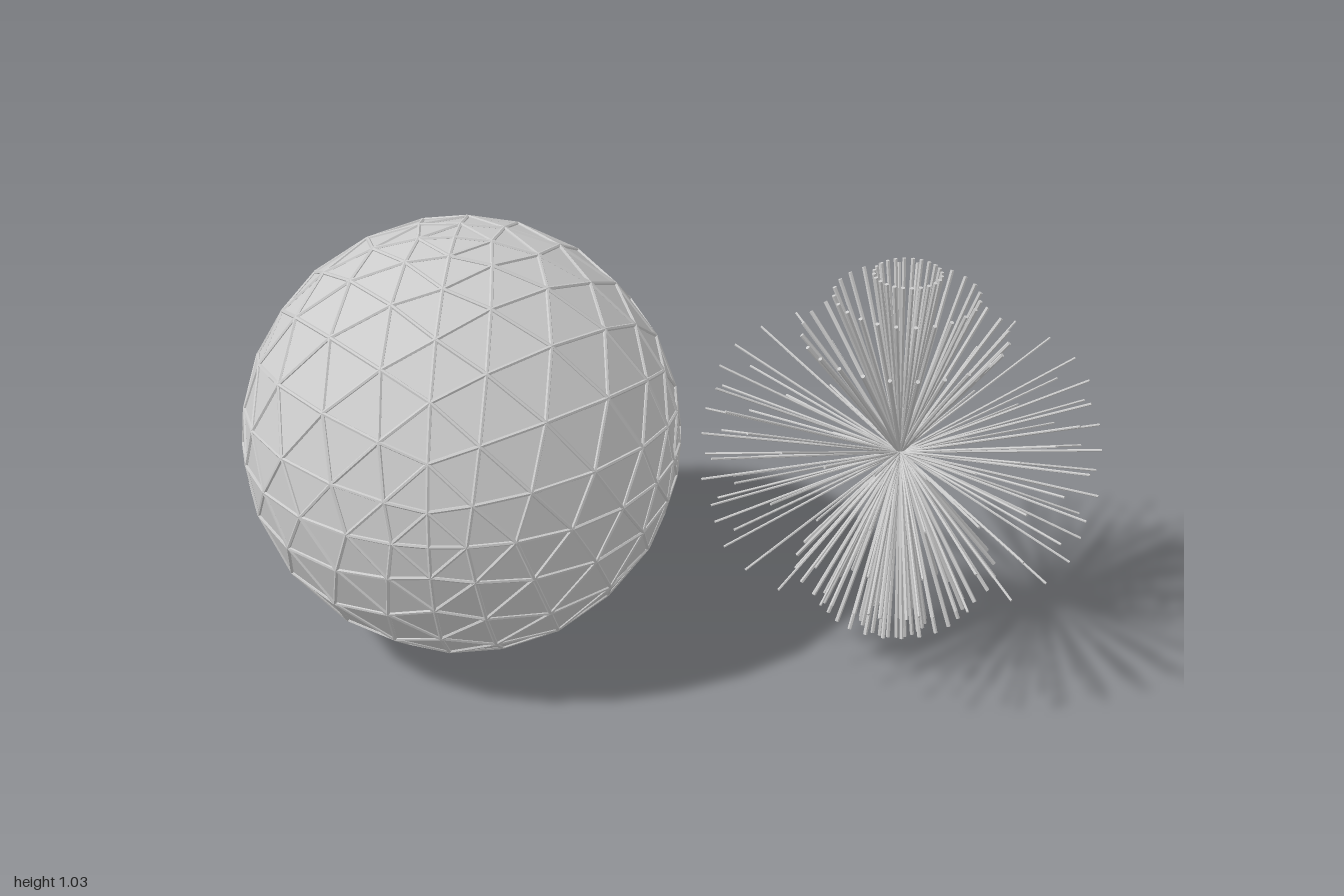
import * as THREE from 'three';
import { mergeGeometries } from 'three/addons/utils/BufferGeometryUtils.js';

const UP = new THREE.Vector3(0, 1, 0);

// A thin straight rod between two points
function rod(a, b, radius, sides, open) {
  const dir = b.clone().sub(a);
  const geo = new THREE.CylinderGeometry(radius, radius, dir.length(), sides, 1, open);
  geo.applyQuaternion(new THREE.Quaternion().setFromUnitVectors(UP, dir.clone().normalize()));
  const mid = a.clone().add(b).multiplyScalar(0.5);
  return geo.translate(mid.x, mid.y, mid.z);
}

function mesh(name, geo) {
  const material = new THREE.MeshStandardMaterial({ color: 0xcccccc, flatShading: true });
  const m = new THREE.Mesh(geo, material);
  m.name = name;
  return m;
}

// Faceted ball with a strut along every edge
function createBall() {
  const ball = new THREE.Group();
  ball.name = 'geodesicBall';
  const shell = new THREE.OctahedronGeometry(0.51, 6);
  const edges = new THREE.EdgesGeometry(shell, 0.01).attributes.position;
  const struts = [];
  for (let i = 0; i < edges.count; i += 2) {
    const a = new THREE.Vector3().fromBufferAttribute(edges, i);
    const b = new THREE.Vector3().fromBufferAttribute(edges, i + 1);
    struts.push(rod(a, b, 0.005, 6, true));
  }
  ball.add(mesh('shell', shell), mesh('struts', mergeGeometries(struts)));
  return ball;
}

// Rings of spikes: distance from the axis, height of the tips, rod radius
const RINGS = [
  [0.077, 0.462, 0.005],
  [0.166, 0.409, 0.005],
  [0.236, 0.311, 0.005],
  [0.43, 0.178, 0.003],
  [0.462, 0.061, 0.003],
];

function createSpikes() {
  const burst = new THREE.Group();
  burst.name = 'spikeBurst';
  const centre = new THREE.Vector3();
  const spokes = 24;
  RINGS.forEach(([reach, height, radius], ring) => {
    for (const side of [1, -1]) {
      const spikes = [];
      for (let i = 0; i < spokes; i++) {
        const angle = ((i + 0.5) / spokes) * Math.PI * 2;
        const tip = new THREE.Vector3(reach * Math.cos(angle), side * height, reach * Math.sin(angle));
        spikes.push(rod(centre, tip, radius, 6, false));
      }
      burst.add(mesh((side > 0 ? 'upper' : 'lower') + 'SpikeRing' + (ring + 1), mergeGeometries(spikes)));
    }
  });
  return burst;
}

export function createModel() {
  const model = new THREE.Group();
  model.name = 'ballAndSpikeBurst';
  const ball = createBall();
  ball.position.set(-0.487, 0.517, 0);
  const burst = createSpikes();
  burst.position.set(0.538, 0.519, 0);
  model.add(ball, burst);
  return model;
}
